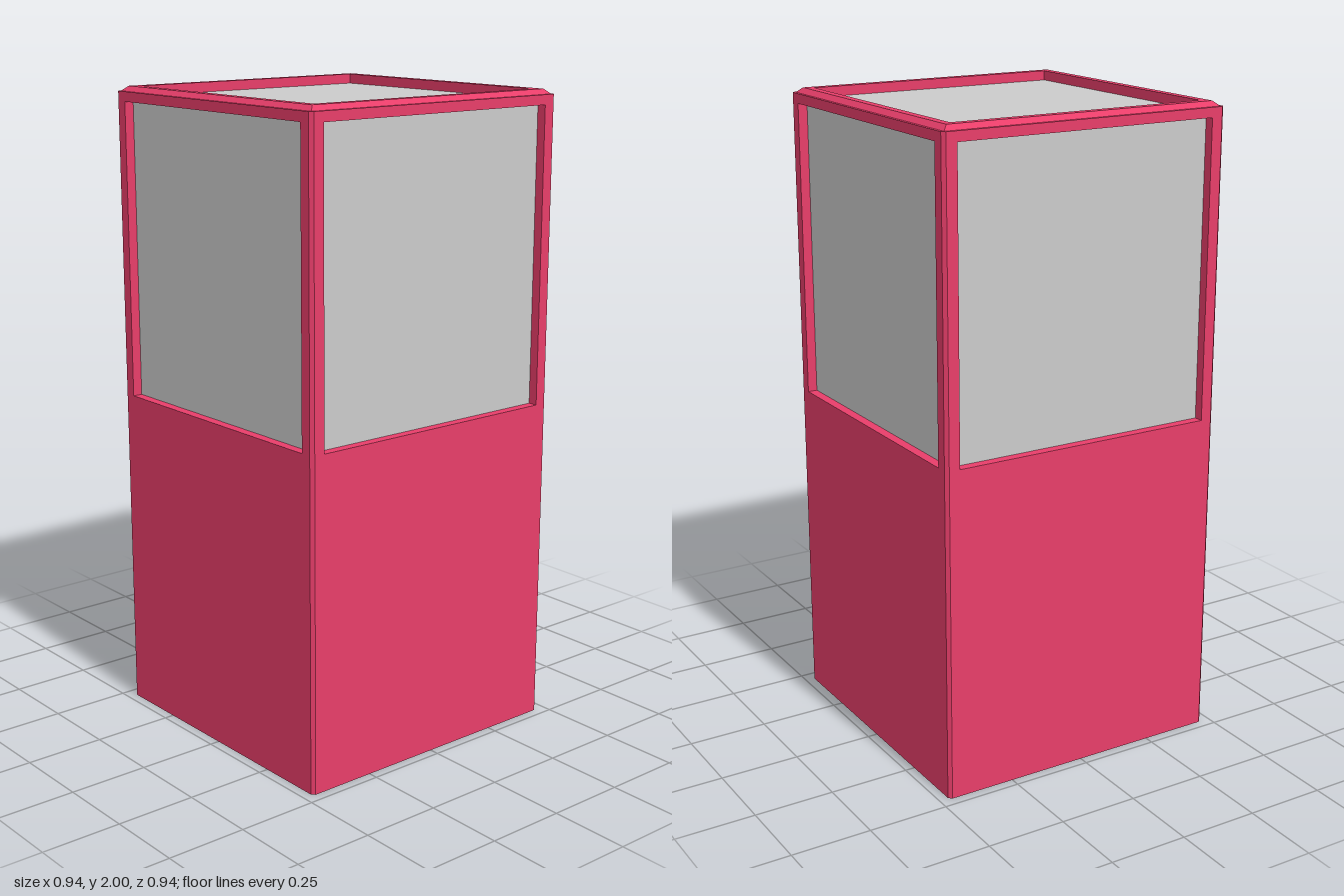
import * as THREE from 'three';

const HALF = 0.47, CHAMFER = 0.01;   // square plan with clipped corners
const SILL = 1.035, HEAD = 1.955, SHOULDER = 1.985, TOP = 2;
const JAMB = 0.425, SKYLIGHT = 0.417, RECESS = 0.03;

const paint = new THREE.MeshStandardMaterial({ color: 0xe83e6a, flatShading: true });
const grey = new THREE.MeshStandardMaterial({ color: 0xcccccc, flatShading: true });

const outline = (pairs) => new THREE.Shape(pairs.map(([x, y]) => new THREE.Vector2(x, y)));

// Upright prism of a plan shape between two heights
function prism(shape, y0, y1) {
  const geo = new THREE.ExtrudeGeometry(shape, { depth: y1 - y0, bevelEnabled: false });
  return geo.rotateX(-Math.PI / 2).translate(0, y0, 0);
}

function clippedSquare() {
  const a = HALF, b = HALF - CHAMFER;
  return outline([[a, -b], [a, b], [b, a], [-b, a], [-a, b], [-a, -b], [-b, -a], [b, -a]]);
}

export function createModel() {
  const model = new THREE.Group();
  const add = (name, geo, material) => {
    const mesh = new THREE.Mesh(geo, material);
    mesh.name = name;
    model.add(mesh);
    return mesh;
  };

  // Solid lower half
  add('base', prism(clippedSquare(), 0, SILL), paint);

  // Corner posts beside the window openings
  const b = HALF - CHAMFER;
  const postPlan = outline([[JAMB, JAMB], [HALF, JAMB], [HALF, b], [b, HALF], [JAMB, HALF]]);
  const postGeo = prism(postPlan, SILL, HEAD);
  for (let i = 0; i < 4; i++) add('cornerPost' + (i + 1), postGeo, paint).rotation.y = i * Math.PI / 2;

  // Head frame with a square opening
  const headPlan = clippedSquare();
  const s = SKYLIGHT;
  headPlan.holes.push(outline([[-s, -s], [-s, s], [s, s], [s, -s]]));
  add('headFrame', prism(headPlan, HEAD, SHOULDER), paint);

  // Raised top rim with sloping outer sides
  const rim = [[0.46, SHOULDER], [0.443, TOP], [SKYLIGHT, TOP], [SKYLIGHT, SHOULDER]]
    .map(([r, y]) => new THREE.Vector2(r * Math.SQRT2, y));
  add('topRim', new THREE.LatheGeometry(rim, 4).rotateY(Math.PI / 4), paint);

  // Recessed panes: four windows and the skylight as one block
  const w = 2 * (HALF - RECESS), h = TOP - RECESS - SILL;
  add('panes', new THREE.BoxGeometry(w, h, w).translate(0, SILL + h / 2, 0), grey);

  return model;
}
